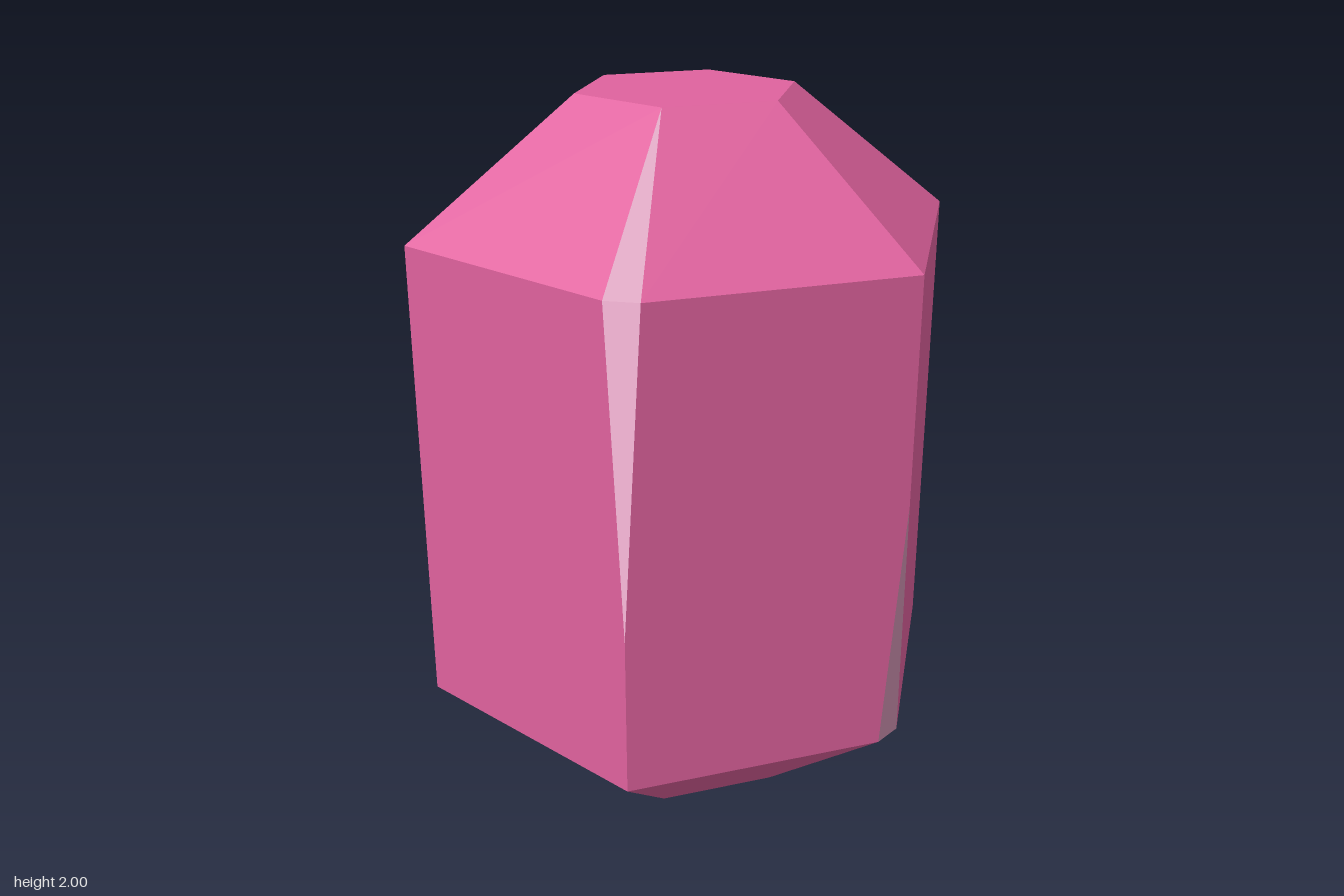
import * as THREE from 'three';

const pink = new THREE.MeshStandardMaterial({ color: 0xe0629e });
pink.name = 'gemPink';
const pale = new THREE.MeshStandardMaterial({ color: 0xe09ec0 });
pale.name = 'chippedPalePink';

const R = 0.76, TOP_R = 0.303, BASE_R = 0.33;
const SHOULDER = 1.64, WAIST = 0.33, HEIGHT = 2;

// Chipped corners: index = corner (0 is front), d = width along each side, tip = where the chip ends
const topChips = { 2: { d: 0.057, tip: 0.77 }, 5: { d: 0.052, tip: 0.77 } };
const baseChips = { 0: { d: 0.05, tip: 1.03 }, 3: { d: 0.07, tip: 1.32 } };

// Corner i of a hexagon ring
function corner(i, r, y) {
  const a = (i * Math.PI) / 3;
  return new THREE.Vector3(Math.sin(a) * r, y, Math.cos(a) * r);
}

// Ring corner moved toward its neighbour when it is chipped
function cutCorner(i, step, chips, y) {
  const chip = chips[((i % 6) + 6) % 6];
  return corner(i, R, y).lerp(corner(i + step, R, y), chip ? chip.d / R : 0);
}

// Facet drawn as a fan, with one flat normal
function facet(points, normal) {
  const pos = [], nor = [];
  for (let k = 1; k < points.length - 1; k++) {
    for (const p of [points[0], points[k], points[k + 1]]) {
      pos.push(p.x, p.y, p.z);
      nor.push(normal.x, normal.y, normal.z);
    }
  }
  const g = new THREE.BufferGeometry();
  g.setAttribute('position', new THREE.Float32BufferAttribute(pos, 3));
  g.setAttribute('normal', new THREE.Float32BufferAttribute(nor, 3));
  return g;
}

// Normal across the two diagonals of a four-cornered facet
function quadNormal(a, b, c, d) {
  return c.clone().sub(a).cross(d.clone().sub(b)).normalize();
}

export function createModel() {
  const gem = new THREE.Group();
  gem.name = 'gem';
  const add = (name, points, normal, material) => {
    const m = new THREE.Mesh(facet(points, normal), material);
    m.name = name;
    gem.add(m);
  };

  for (let i = 0; i < 6; i++) {
    const j = i + 1;
    const ll = cutCorner(i, 1, baseChips, WAIST), lr = cutCorner(j, -1, baseChips, WAIST);
    const ul = cutCorner(i, 1, topChips, SHOULDER), ur = cutCorner(j, -1, topChips, SHOULDER);

    // Upright side, with an extra point where a chip runs out on an edge
    const chipL = topChips[i] || baseChips[i];
    const chipR = topChips[j % 6] || baseChips[j % 6];
    const side = [ll, lr];
    if (chipR) side.push(corner(j, R, chipR.tip));
    side.push(ur, ul);
    if (chipL) side.push(corner(i, R, chipL.tip));
    add('sideFacet', side, quadNormal(ll, lr, ur, ul), pink);

    // Sloped crown and base
    const crown = [ul, ur, corner(j, TOP_R, HEIGHT), corner(i, TOP_R, HEIGHT)];
    add('crownFacet', crown, quadNormal(...crown), pink);
    const base = [corner(i, BASE_R, 0), corner(j, BASE_R, 0), lr, ll];
    add('baseFacet', base, quadNormal(...base), pink);

    // Pale chips folded over the shoulder or waist of a corner
    for (const [chips, y, r, end] of [[topChips, SHOULDER, TOP_R, HEIGHT], [baseChips, WAIST, BASE_R, 0]]) {
      if (!chips[i]) continue;
      const left = cutCorner(i, -1, chips, y), right = cutCorner(i, 1, chips, y);
      const tip = corner(i, R, chips[i].tip), apex = corner(i, r, end);
      const chip = end ? [left, tip, right, apex] : [left, apex, right, tip];
      add('cornerChip', chip, quadNormal(...chip), pale);
    }
  }

  // Flat ends
  const ring = [0, 1, 2, 3, 4, 5];
  add('topTable', ring.map((i) => corner(i, TOP_R, HEIGHT)), new THREE.Vector3(0, 1, 0), pink);
  add('bottomFace', ring.map((i) => corner(-i, BASE_R, 0)), new THREE.Vector3(0, -1, 0), pink);
  return gem;
}
